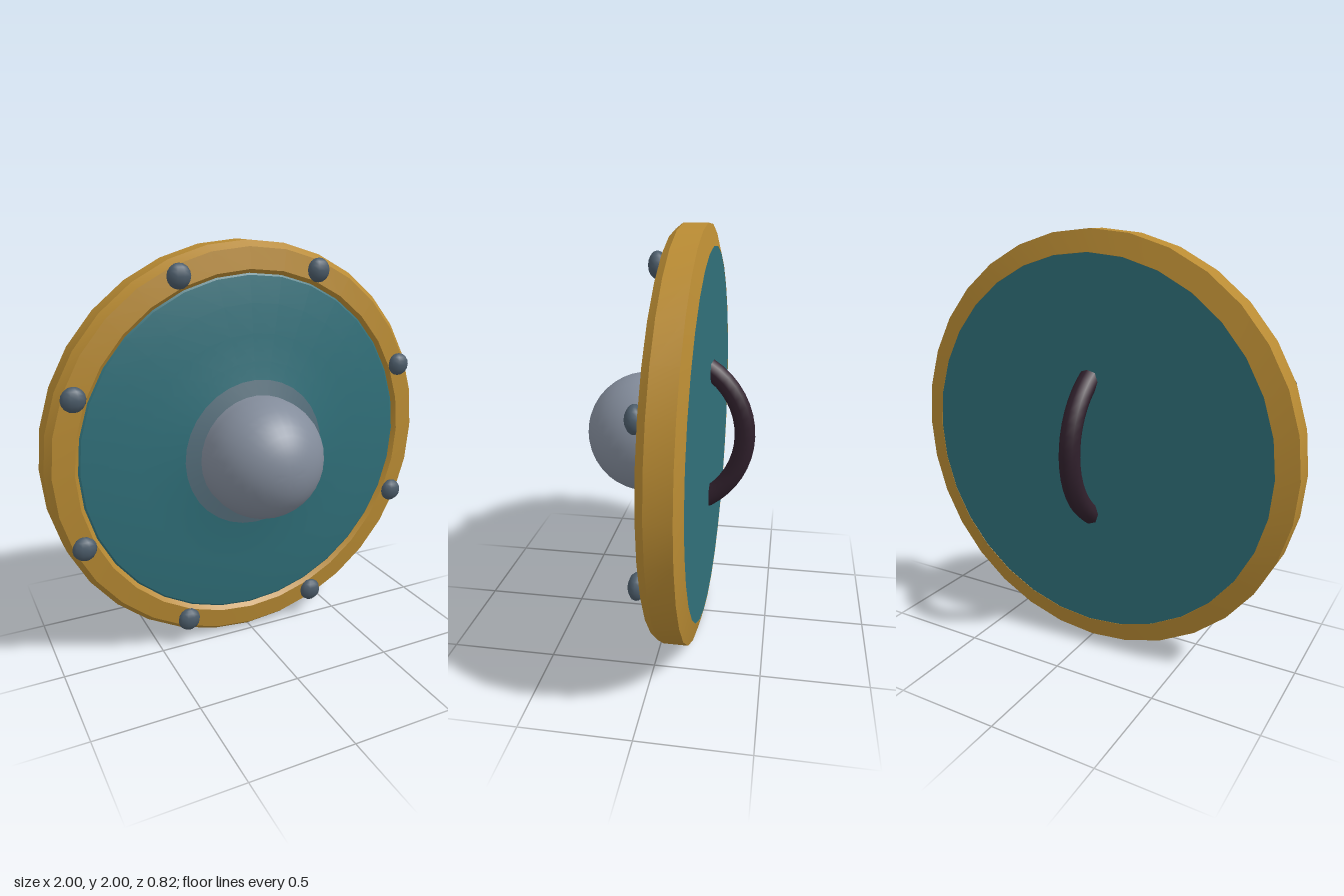
import * as THREE from 'three';
import { toCreasedNormals } from 'three/addons/utils/BufferGeometryUtils.js';

const mat = (name, color) => new THREE.MeshStandardMaterial({ name, color });

export function createModel() {
  const gold = mat('gold', 0xb98b33);
  const teal = mat('teal', 0x30707a);
  const steel = mat('steel', 0x838c9b);
  const blend = mat('greyTeal', 0x566f7c);
  const iron = mat('darkIron', 0x4b5b69);
  const leather = mat('leather', 0x30202c);

  const shield = new THREE.Group();
  shield.name = 'shield';
  shield.position.y = 1;

  const add = (name, geometry, material) => {
    const mesh = new THREE.Mesh(geometry, material);
    mesh.name = name;
    shield.add(mesh);
    return mesh;
  };

  // Profiles are [radius, z], turned about the z axis
  const turned = (profile, crease = 0.35) => {
    const points = profile.map(([r, z]) => new THREE.Vector2(r, z));
    return toCreasedNormals(new THREE.LatheGeometry(points, 32).rotateX(Math.PI / 2), crease);
  };

  // Rim with bevelled edges
  add('rim', turned([
    [0.9, -0.195], [1, -0.168], [1, -0.055], [0.972, -0.02],
    [0.872, -0.006], [0.845, -0.035], [0.845, -0.1], [0.9, -0.195],
  ]), gold);

  // Board: flat back, gently raised front
  add('board', turned([
    [0, -0.194], [0.9, -0.194], [0.86, -0.03], [0.845, -0.02], [0.72, 0],
    [0.58, 0.014], [0.45, 0.029], [0.365, 0.043],
  ]), teal);

  // Collar around the boss
  add('bossCollar', turned([[0.365, 0.043], [0.28, 0.064]]), blend);

  // Domed boss with a short straight base
  const dome = [[0.293, 0.055]];
  for (let i = 0; i <= 10; i++) {
    const a = (i / 10) * Math.PI / 2;
    dome.push([0.295 * Math.cos(a), 0.115 + 0.295 * Math.sin(a)]);
  }
  add('boss', turned(dome, 0.6), steel);

  // Flattened rivets around the rim
  const rivetGeometry = new THREE.SphereGeometry(0.058, 10, 8).scale(1, 1, 0.65);
  for (let i = 0; i < 8; i++) {
    const a = (i + 0.5) * Math.PI / 4;
    add('rivet', rivetGeometry, iron).position.set(0.925 * Math.cos(a), 0.925 * Math.sin(a), 0);
  }

  // Arched grip on the back, its ends sunk into the board
  const arc = [];
  for (let i = 0; i <= 12; i++) {
    const a = (i / 6 - 1) * 1.01;
    arc.push(new THREE.Vector3(0, 0.4 * Math.sin(a), 0.038 - 0.4 * Math.cos(a)));
  }
  add('grip', new THREE.TubeGeometry(new THREE.CatmullRomCurve3(arc), 16, 0.05, 8), leather);

  const model = new THREE.Group();
  model.add(shield);
  return model;
}
